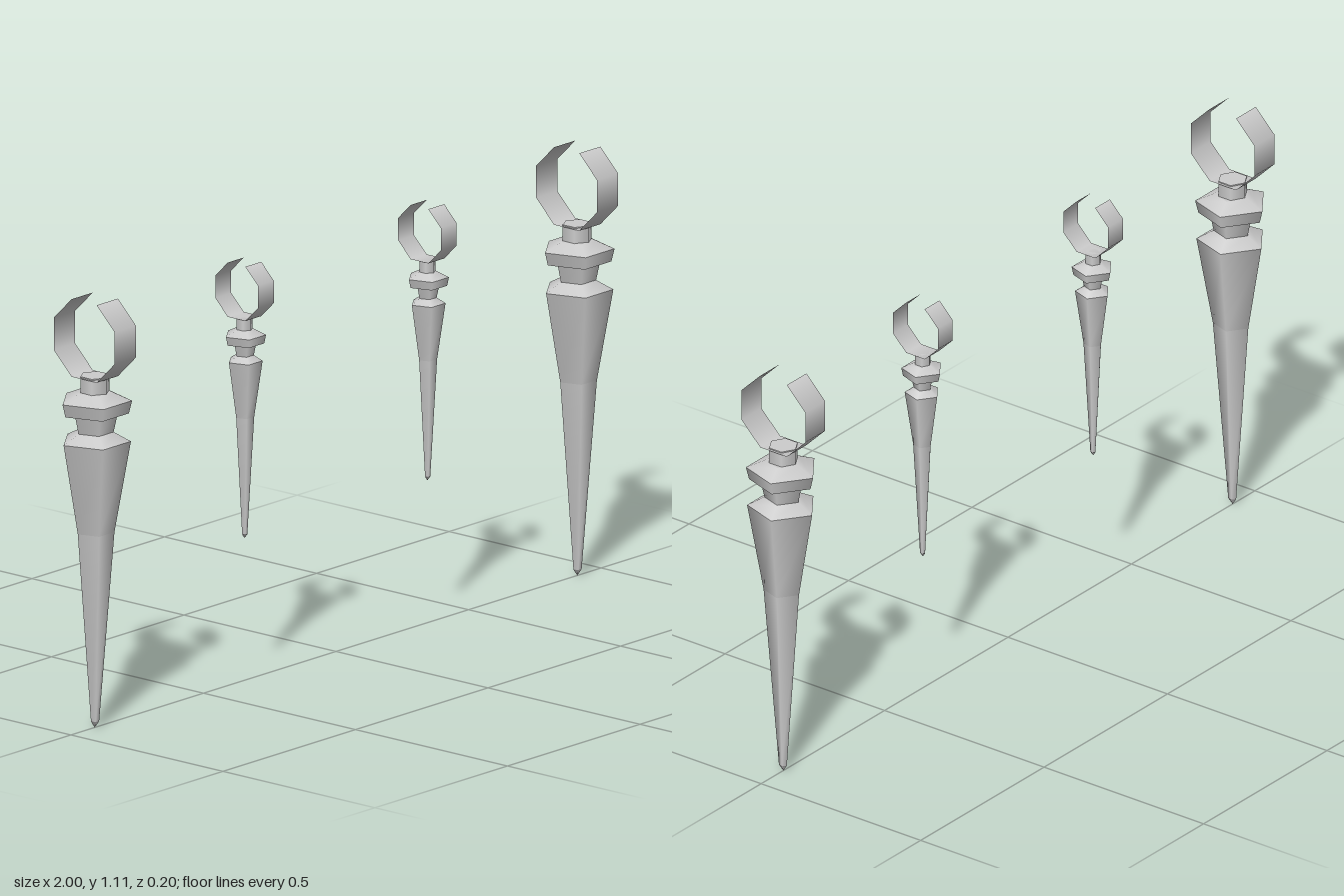
import * as THREE from 'three';
import { mergeGeometries } from 'three/addons/utils/BufferGeometryUtils.js';

const material = new THREE.MeshStandardMaterial({ color: 0xcccccc, side: THREE.DoubleSide });

// Stack of five-sided bands through [radius, y] points; corner at the back, crisp rims between bands
function turned(name, points) {
  const bands = [];
  for (let i = 1; i < points.length; i++) {
    const [r0, y0] = points[i - 1];
    const [r1, y1] = points[i];
    const band = new THREE.CylinderGeometry(r1, r0, y1 - y0, 5, 1, true, Math.PI);
    bands.push(band.translate(0, (y0 + y1) / 2, 0));
  }
  const mesh = new THREE.Mesh(mergeGeometries(bands), material);
  mesh.name = name;
  return mesh;
}

// Six-sided stem below the clasp
function stem(radius, y0, y1) {
  const geometry = new THREE.CylinderGeometry(radius, radius, y1 - y0, 6);
  const mesh = new THREE.Mesh(geometry.translate(0, (y0 + y1) / 2, 0), material);
  mesh.name = 'stem';
  return mesh;
}

// Thin eight-sided hoop around the x axis with its top side left open
function hoop(apothem, width, y) {
  const radius = apothem / Math.cos(Math.PI / 8);
  const geometry = new THREE.CylinderGeometry(
    radius, radius, width, 7, 1, true, Math.PI * 5 / 8, Math.PI * 7 / 4);
  const mesh = new THREE.Mesh(geometry.rotateZ(Math.PI / 2).translate(0, y, 0), material);
  mesh.name = 'openHoop';
  return mesh;
}

const sizes = [
  {
    name: 'largePendant', x: 0.91,
    spike: [[0, 0], [0.011, 0.017], [0.049, 0.505], [0.09, 0.74], [0.047, 0.763]],
    waist: [[0.047, 0.763], [0.057, 0.811]],
    collar: [[0.055, 0.808], [0.085, 0.812], [0.093, 0.845], [0.045, 0.866], [0, 0.868]],
    stem: [0.038, 0.86, 0.908],
    hoop: [0.1, 0.08, 1.005],
  },
  {
    name: 'smallPendant', x: 0.345,
    spike: [[0, 0.367], [0.007, 0.377], [0.024, 0.68], [0.045, 0.825], [0.023, 0.839]],
    waist: [[0.023, 0.839], [0.029, 0.87]],
    collar: [[0.028, 0.867], [0.049, 0.87], [0.0535, 0.892], [0.025, 0.906], [0, 0.907]],
    stem: [0.021, 0.9, 0.938],
    hoop: [0.07, 0.06, 1.008],
  },
];

export function createModel() {
  const model = new THREE.Group();
  model.name = 'pendantSet';
  for (const size of sizes) {
    for (const side of [1, -1]) {
      const pendant = new THREE.Group();
      pendant.name = size.name + (side > 0 ? 'Left' : 'Right');
      pendant.add(
        turned('spike', size.spike),
        turned('waist', size.waist),
        turned('collar', size.collar),
        stem(...size.stem),
        hoop(...size.hoop));
      pendant.position.x = side * size.x;
      model.add(pendant);
    }
  }
  return model;
}
